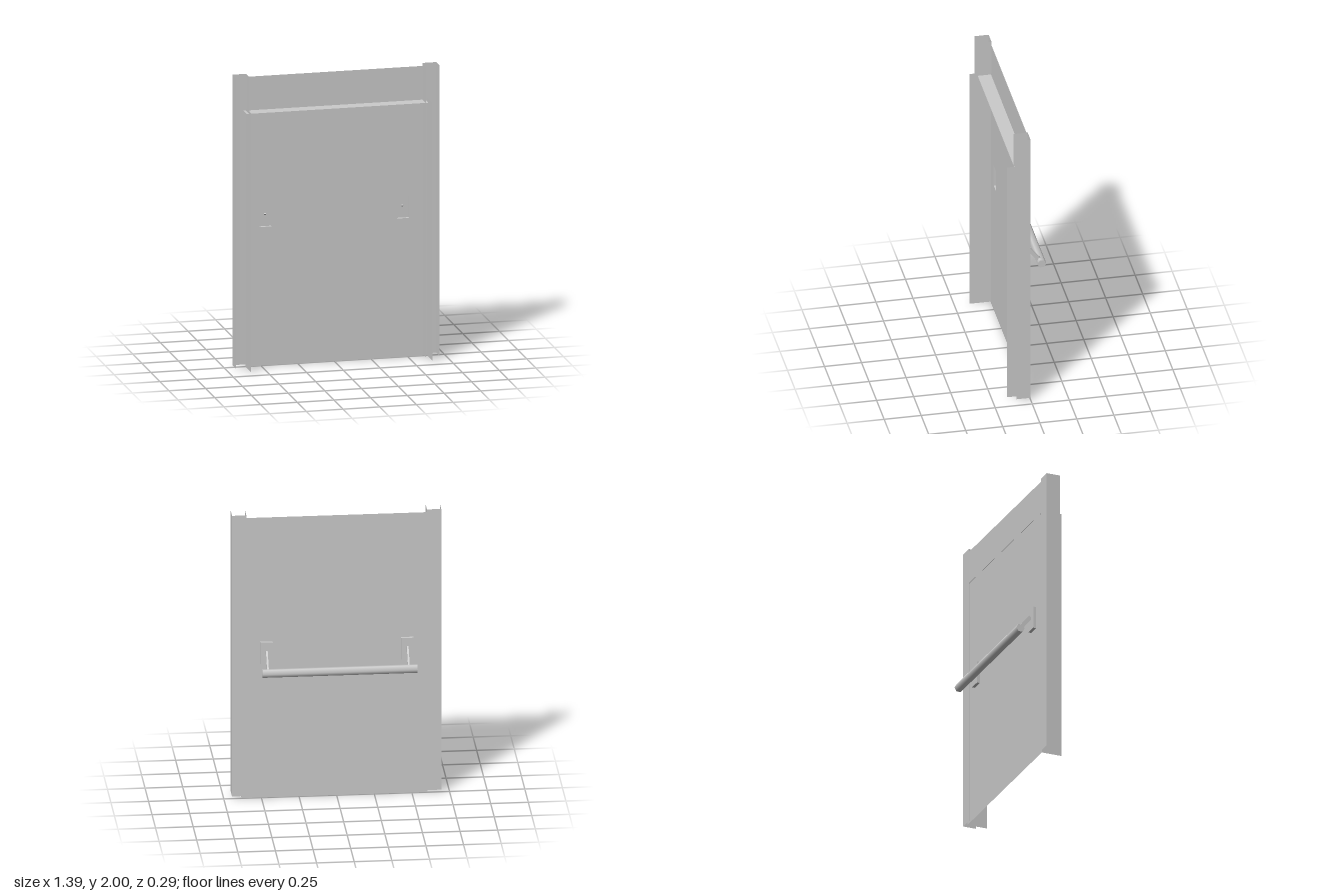
import * as THREE from 'three';

const material = new THREE.MeshStandardMaterial({ color: 0xcccccc, side: THREE.DoubleSide });

function add(parent, name, geometry) {
  const mesh = new THREE.Mesh(geometry, material);
  mesh.name = name;
  parent.add(mesh);
  return mesh;
}

// Upright sheet facing z
function faceSheet(parent, name, x0, x1, y0, y1, z) {
  add(parent, name, new THREE.PlaneGeometry(x1 - x0, y1 - y0))
    .position.set((x0 + x1) / 2, (y0 + y1) / 2, z);
}

// Upright sheet facing x
function sideSheet(parent, name, x, y0, y1, z0, z1) {
  add(parent, name, new THREE.PlaneGeometry(z1 - z0, y1 - y0).rotateY(Math.PI / 2))
    .position.set(x, (y0 + y1) / 2, (z0 + z1) / 2);
}

// Level sheet facing y
function levelSheet(parent, name, x0, x1, y, z0, z1) {
  add(parent, name, new THREE.PlaneGeometry(x1 - x0, z1 - z0).rotateX(-Math.PI / 2))
    .position.set((x0 + x1) / 2, y, (z0 + z1) / 2);
}

function group(parent, name) {
  const g = new THREE.Group();
  g.name = name;
  parent.add(g);
  return g;
}

export function createModel() {
  const model = new THREE.Group();
  model.name = 'pushBarDoor';

  // Frame jambs: folded sheet channels open to the front
  for (const s of [-1, 1]) {
    const jamb = group(model, s > 0 ? 'leftJamb' : 'rightJamb');
    const a = s * 0.6, b = s * 0.695;
    faceSheet(jamb, 'jambBack', Math.min(a, b), Math.max(a, b), 0.015, 2, 0);
    sideSheet(jamb, 'jambInnerWall', a, 0.015, 2, 0, 0.095);
    sideSheet(jamb, 'jambOuterWall', b, 0.015, 2, 0, 0.095);
  }

  // Header: back sheet with a ledge folded forward at its lower edge
  const header = group(model, 'header');
  faceSheet(header, 'headerBack', -0.62, 0.62, 1.75, 1.98, 0.002);
  levelSheet(header, 'headerLedge', -0.62, 0.62, 1.75, 0.002, 0.093);

  // Door leaf with openings behind the bracket plates, and folded side flanges
  const door = group(model, 'door');
  const x0 = -0.605, x1 = 0.632, doorZ = 0.004;
  const plateXs = [-0.469, 0.467], pw = 0.082, py0 = 0.948, py1 = 1.102;
  const leaf = new THREE.Shape([
    new THREE.Vector2(x0, 0), new THREE.Vector2(x1, 0),
    new THREE.Vector2(x1, 1.767), new THREE.Vector2(x0, 1.767),
  ]);
  for (const x of plateXs) {
    const l = x - pw / 2, r = x + pw / 2;
    leaf.holes.push(new THREE.Path([
      new THREE.Vector2(l, py0), new THREE.Vector2(l, py1),
      new THREE.Vector2(r, py1), new THREE.Vector2(r, py0),
    ]));
  }
  add(door, 'doorLeaf', new THREE.ShapeGeometry(leaf)).position.z = doorZ;
  sideSheet(door, 'rightFlange', x0, 0, 1.767, doorZ, 0.147);
  sideSheet(door, 'leftFlange', x1, 0, 1.767, doorZ, 0.147);

  // Push bar on the back
  const handle = group(model, 'pushBar');
  const barY = 0.922, barZ = -0.115, barR = 0.03;
  const bar = new THREE.CylinderGeometry(barR, barR, 1.031, 6).rotateZ(Math.PI / 2);
  // Turn so that corners point to front and back
  bar.rotateX(Math.abs(bar.attributes.position.getZ(0)) > 0.029 ? 0 : Math.PI / 6);
  add(handle, 'bar', bar).position.set(-0.01, barY, barZ);

  // Bracket: hollow plate and slanted arm
  const start = new THREE.Vector3(0, 1.04, -0.02);
  const end = new THREE.Vector3(0, barY, barZ);
  for (const x of plateXs) {
    const bracket = group(handle, x > 0 ? 'leftBracket' : 'rightBracket');
    const l = x - pw / 2, r = x + pw / 2, pz = -0.016;
    faceSheet(bracket, 'plate', l, r, py0, py1, pz);
    for (const px of [l, r]) sideSheet(bracket, 'plateSide', px, py0, py1, pz, doorZ);
    for (const y of [py0, py1]) levelSheet(bracket, 'plateEnd', l, r, y, pz, doorZ);
    const arm = add(bracket, 'arm', new THREE.BoxGeometry(0.012, 0.028, start.distanceTo(end)));
    arm.position.copy(start).add(end).multiplyScalar(0.5);
    arm.rotation.x = Math.atan2(start.z - end.z, start.y - end.y) - Math.PI / 2;
    arm.position.x = x;
  }
  return model;
}
